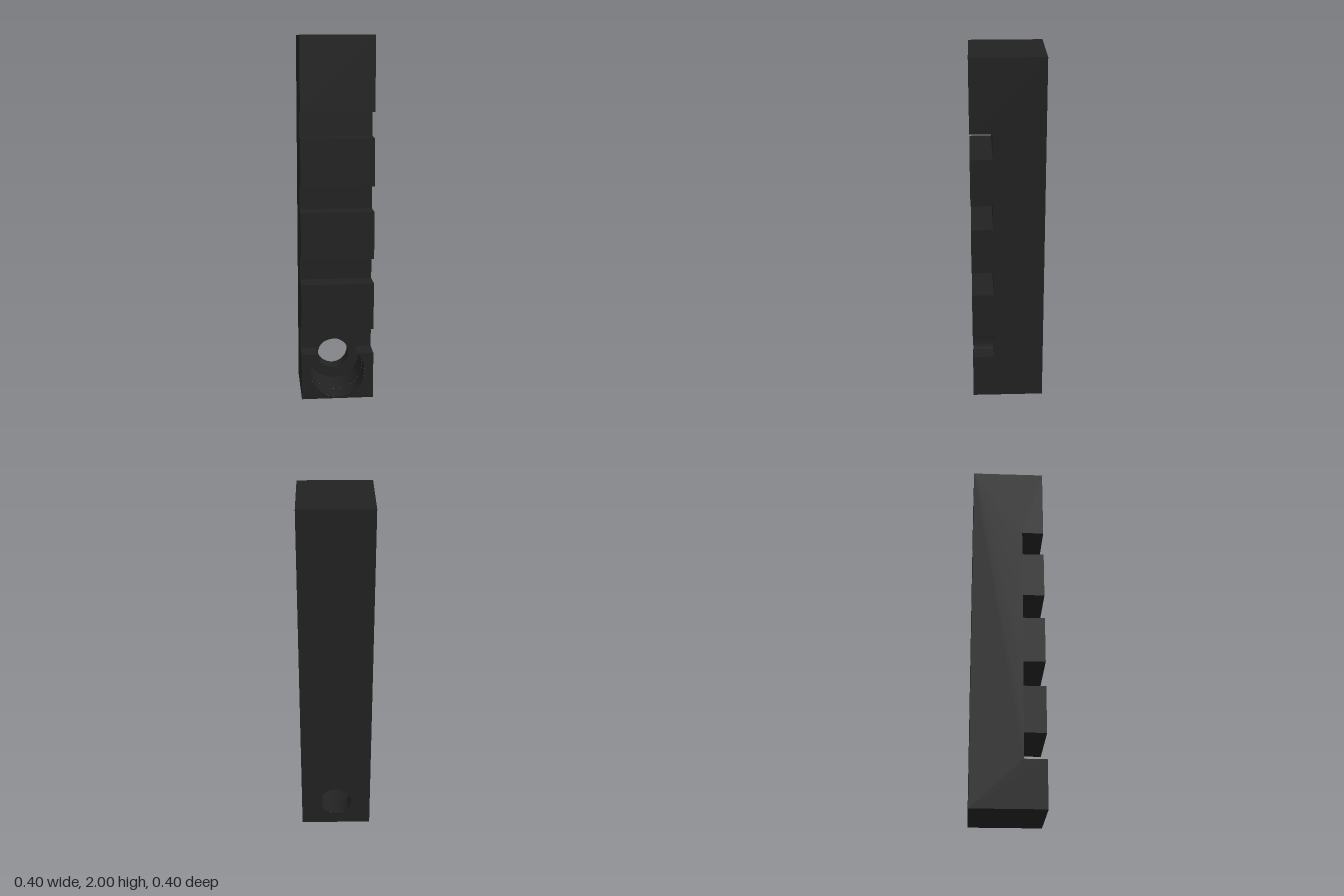
import * as THREE from 'three';
import { mergeGeometries } from 'three/addons/utils/BufferGeometryUtils.js';

const HALF = 0.2, HEIGHT = 2;
const NOTCH_Z = 0.08, NOTCH_H = 0.14, NOTCH_TOPS = [0.4, 0.8, 1.2, 1.6];
const HOLE_Y = 0.16, HOLE_R = 0.09, BORE_R = 0.15, SEAT_Z = -0.1;
const LEDGE_Y = NOTCH_TOPS[0] - NOTCH_H;

// Angle and half width where the wide bore crosses the lowest notch floor
const CUT = Math.asin((LEDGE_Y - HOLE_Y) / BORE_R);
const CUT_X = BORE_R * Math.cos(CUT);

const SEGMENTS = 48;

function flat(geometry) {
  const g = geometry.index ? geometry.toNonIndexed() : geometry;
  g.deleteAttribute('uv');
  g.computeVertexNormals();
  return g;
}

// Quad spanning x0..x1 along one [z, y] profile edge
function quad(x0, x1, [za, ya], [zb, yb]) {
  const g = new THREE.BufferGeometry();
  g.setAttribute('position', new THREE.Float32BufferAttribute(
    [x0, ya, za, x1, ya, za, x1, yb, zb, x0, yb, zb], 3));
  g.setIndex([0, 1, 2, 0, 2, 3]);
  return flat(g);
}

const polygon = (points) => new THREE.Shape(points.map(([x, y]) => new THREE.Vector2(x, y)));
const face = (shape) => flat(new THREE.ShapeGeometry(shape, SEGMENTS));
const circle = (r) => new THREE.Path().absarc(0, HOLE_Y, r, 0, Math.PI * 2, false);

// Inward-facing smooth wall of a round hole, over an arc
function holeWall(r, z0, z1, from = 0, to = Math.PI * 2) {
  const position = [], normal = [], index = [];
  for (let i = 0; i <= SEGMENTS; i++) {
    const t = from + (to - from) * i / SEGMENTS;
    const c = Math.cos(t), s = Math.sin(t);
    for (const z of [z0, z1]) {
      position.push(r * c, HOLE_Y + r * s, z);
      normal.push(-c, -s, 0);
    }
    const a = i * 2;
    if (i < SEGMENTS) index.push(a, a + 1, a + 2, a + 1, a + 3, a + 2);
  }
  const g = new THREE.BufferGeometry();
  g.setAttribute('position', new THREE.Float32BufferAttribute(position, 3));
  g.setAttribute('normal', new THREE.Float32BufferAttribute(normal, 3));
  g.setIndex(index);
  return g;
}

export function createModel() {
  const group = new THREE.Group();
  group.name = 'notchedBar';
  const material = new THREE.MeshStandardMaterial({ color: 0x222222 });
  const add = (name, geometries) => {
    const mesh = new THREE.Mesh(mergeGeometries(geometries), material);
    mesh.name = name;
    group.add(mesh);
  };

  // Comb-shaped side profile in [z, y]
  const profile = [[-HALF, 0], [HALF, 0]];
  for (const top of NOTCH_TOPS) {
    profile.push([HALF, top - NOTCH_H], [NOTCH_Z, top - NOTCH_H], [NOTCH_Z, top], [HALF, top]);
  }
  profile.push([HALF, HEIGHT], [-HALF, HEIGHT]);

  // Left and right sides
  const body = [1, -1].map((side) =>
    face(polygon(profile.map(([z, y]) => [-side * z, y])))
      .rotateY(side * Math.PI / 2).translate(side * HALF, 0, 0));

  // Top, bottom, teeth and notches; edges 1 to 3 are cut by the bore
  for (let i = 0; i < profile.length - 1; i++) {
    if (i < 1 || i > 3) body.push(quad(-HALF, HALF, profile[i], profile[i + 1]));
  }

  // Lowest notch floor, split by the bore
  body.push(quad(-HALF, -CUT_X, profile[2], profile[3]), quad(CUT_X, HALF, profile[2], profile[3]));

  // Lowest tooth front with the open bore
  const tooth = polygon([[-HALF, 0], [HALF, 0], [HALF, LEDGE_Y], [CUT_X, LEDGE_Y]]);
  tooth.absarc(0, HOLE_Y, BORE_R, CUT, Math.PI - CUT, true);
  tooth.lineTo(-HALF, LEDGE_Y);
  body.push(face(tooth).translate(0, 0, HALF));

  // Lowest notch back wall with the top arc of the bore
  const notchBack = polygon([[-HALF, LEDGE_Y], [-CUT_X, LEDGE_Y]]);
  notchBack.absarc(0, HOLE_Y, BORE_R, Math.PI - CUT, CUT, true);
  notchBack.lineTo(HALF, LEDGE_Y);
  notchBack.lineTo(HALF, NOTCH_TOPS[0]);
  notchBack.lineTo(-HALF, NOTCH_TOPS[0]);
  body.push(face(notchBack).translate(0, 0, NOTCH_Z));

  // Back face with the through hole
  const back = polygon([[-HALF, 0], [HALF, 0], [HALF, HEIGHT], [-HALF, HEIGHT]]);
  back.holes.push(circle(HOLE_R));
  body.push(face(back).rotateY(Math.PI).translate(0, 0, -HALF));
  add('barBody', body);

  // Stepped screw hole: wide bore, seat ring, narrow through hole
  add('wideBore', [
    holeWall(BORE_R, SEAT_Z, NOTCH_Z),
    holeWall(BORE_R, NOTCH_Z, HALF, Math.PI - CUT, Math.PI * 2 + CUT),
  ]);
  const seat = new THREE.Shape().absarc(0, HOLE_Y, BORE_R, 0, Math.PI * 2, false);
  seat.holes.push(circle(HOLE_R));
  add('boreSeat', [face(seat).translate(0, 0, SEAT_Z)]);
  add('throughHole', [holeWall(HOLE_R, -HALF, SEAT_Z)]);

  return group;
}
